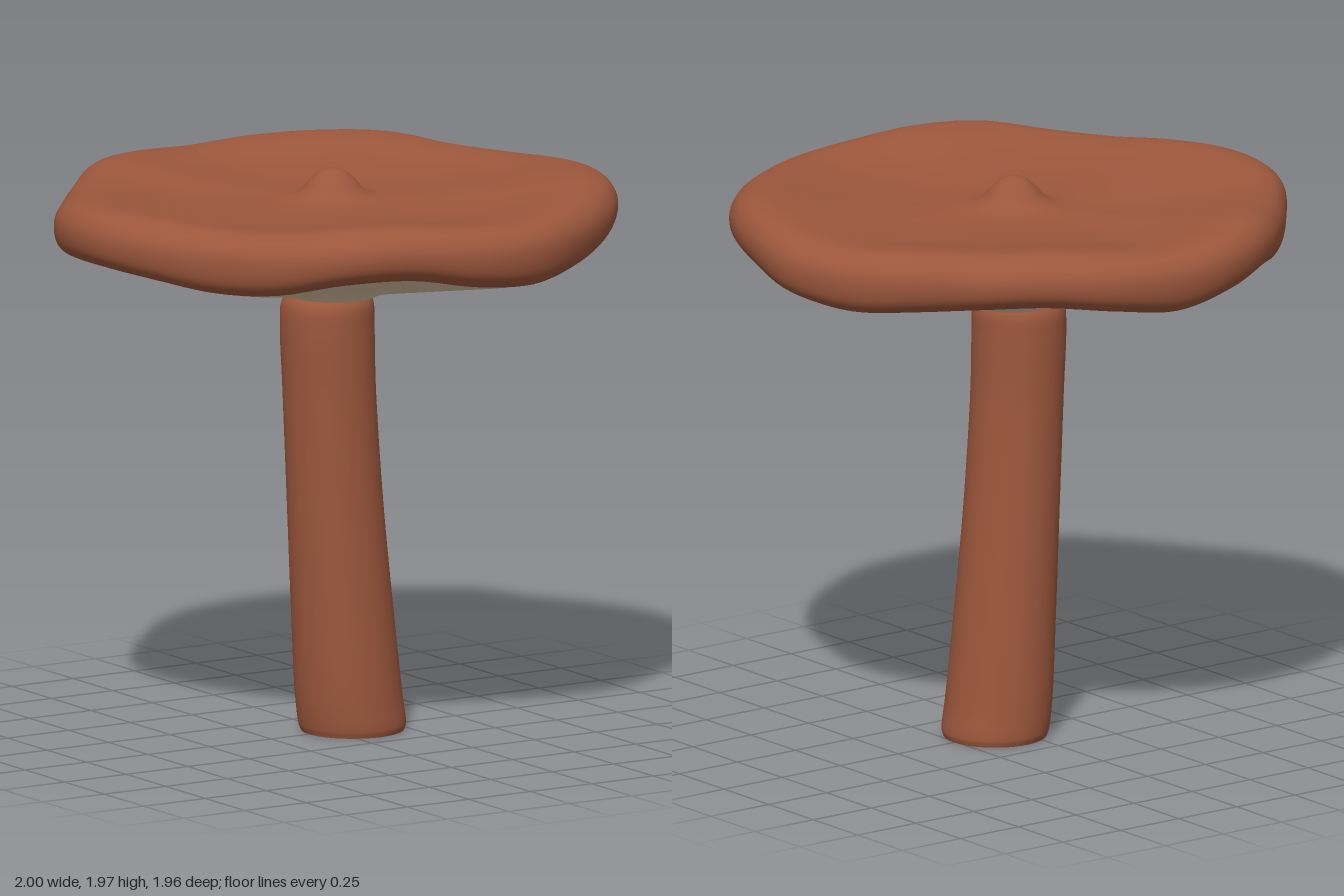
import * as THREE from 'three';

const SEG = 144;
const { lerp, smoothstep } = THREE.MathUtils;

// Outline radius and rim lift, one value per 15 degrees starting at +x and turning to +z
const OUTLINE = [1, 0.985, 0.978, 0.968, 0.968, 0.987, 0.977, 0.967, 0.982, 0.952, 0.933, 0.963,
  0.998, 0.993, 0.94, 0.925, 0.952, 0.975, 0.983, 0.983, 0.967, 0.976, 0.93, 0.968];
const LIFT = [-0.01, 0.025, 0.035, 0.01, -0.015, -0.03, -0.01, 0.03, 0.025, -0.02, -0.03, -0.005,
  0.01, 0, -0.025, -0.015, 0.02, 0, -0.025, 0.005, 0.03, 0.025, -0.01, -0.03];

// Smooth periodic lookup, t in 0..1 around the cap
function around(table, t) {
  const n = table.length, f = t * n, i = Math.floor(f), u = f - i;
  const [a, b, c, d] = [-1, 0, 1, 2].map(k => table[(i + k + n) % n]);
  return b + 0.5 * u * (c - a + u * (2 * a - 5 * b + 4 * c - d + u * (3 * (b - c) + d - a)));
}

// Closed rings joined into a skin; place(ring, t) gives each vertex
function skin(rings, place) {
  const pos = [], idx = [];
  for (let r = 0; r < rings; r++) {
    for (let s = 0; s < SEG; s++) {
      pos.push(...place(r, s / SEG));
      if (r === rings - 1) continue;
      const a = r * SEG + s, b = r * SEG + (s + 1) % SEG;
      idx.push(a, a + SEG, b, b, a + SEG, b + SEG);
    }
  }
  const g = new THREE.BufferGeometry();
  g.setAttribute('position', new THREE.Float32BufferAttribute(pos, 3));
  g.setIndex(idx);
  g.computeVertexNormals();
  return g;
}

const smooth = (pts, n) =>
  new THREE.CatmullRomCurve3(pts.map(p => new THREE.Vector3(p[0], p[1], p[2] || 0)), false, 'centripetal').getPoints(n);

// Revolved profile, pushed to the wavy outline towards the rim; the top waves less than the underside
function wavy(profile, fold) {
  return skin(profile.length, (i, t) => {
    const p = profile[i], a = t * Math.PI * 2, w = smoothstep(p.x, 0.1, 0.95);
    const r = p.x * lerp(1, around(OUTLINE, t), w);
    const lift = w * around(LIFT, t) * lerp(1, 0.5, smoothstep(p.y, 1.72, 1.86));
    const ripple = fold * Math.sin(a * 36 + Math.sin(a * 5)) *
      smoothstep(p.x, 0.15, 0.25) * (1 - smoothstep(p.x, 0.3, 0.85));
    return [r * Math.cos(a), p.y + lift + ripple, r * Math.sin(a)];
  });
}

export function createModel() {
  const model = new THREE.Group();
  model.name = 'mushroom';
  const brown = new THREE.MeshStandardMaterial({ color: 0x9c573c });
  brown.name = 'russet brown';
  const cream = new THREE.MeshStandardMaterial({ color: 0xdcc3a3 });
  cream.name = 'gill cream';
  const add = (name, geometry, material) => {
    const m = new THREE.Mesh(geometry, material);
    m.name = name;
    model.add(m);
  };

  // Cap: central knob, shallow dish and blunt rolled rim
  const capProfile = smooth([[0.0005, 1.967], [0.04, 1.957], [0.078, 1.925], [0.11, 1.89], [0.16, 1.868],
    [0.3, 1.862], [0.6, 1.878], [0.82, 1.907], [0.91, 1.907], [0.965, 1.885], [0.993, 1.848], [1, 1.805],
    [0.99, 1.757], [0.965, 1.727], [0.935, 1.712]], 70).reverse();
  add('cap', wavy(capProfile, 0), brown);

  // Gills: folded underside from the stem out to the rim
  const gillProfile = smooth([[0.13, 1.515], [0.165, 1.53], [0.22, 1.556], [0.5, 1.62], [0.75, 1.672],
    [0.935, 1.712]], 36);
  add('gills', wavy(gillProfile, 0.005), cream);

  // Stem: leaning tube, rows are centre x, height, radius
  const stem = smooth([[0.081, 0.008, 0.18], [0.08, 0.022, 0.184], [0.066, 0.12, 0.184], [0.041, 0.4, 0.176],
    [0.01, 0.8, 0.165], [-0.014, 1.2, 0.16], [-0.022, 1.42, 0.162], [-0.021, 1.5, 0.158],
    [-0.018, 1.535, 0.14]], 60);
  add('stem', skin(stem.length, (i, t) => {
    const p = stem[i], a = t * Math.PI * 2;
    return [p.x + p.z * Math.cos(a), p.y, p.z * Math.sin(a)];
  }), brown);

  // Flat cut end of the stem
  const foot = new THREE.CylinderGeometry(0.18, 0.177, 0.008, 48);
  foot.translate(0.081, 0.004, 0);
  add('stemFoot', foot, brown);
  return model;
}
